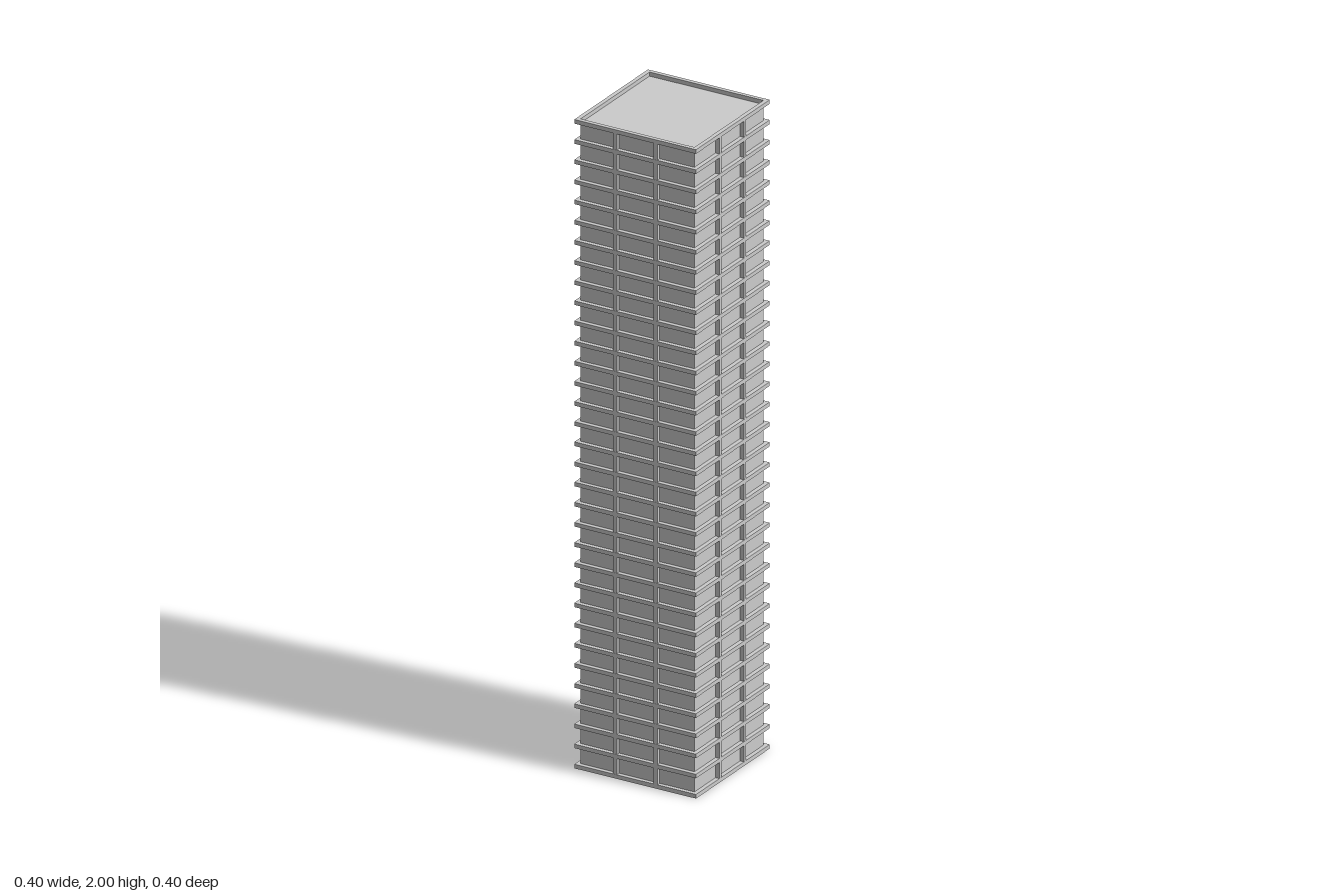
import * as THREE from 'three';

export function createModel() {
  const group = new THREE.Group();
  const mat = new THREE.MeshStandardMaterial({ color: 0xcccccc, flatShading: true });
  const floors = 32, half = 0.2, core = 0.187, thick = 0.0125;
  const pitch = (2 - thick) / floors;

  const add = (name, geometry, x, y, z, parent = group) => {
    const mesh = new THREE.Mesh(geometry, mat);
    mesh.name = name;
    mesh.position.set(x, y, z);
    parent.add(mesh);
    return mesh;
  };

  // Tower body, its roof slightly below the top rim
  const bodyH = 2 - thick;
  add('towerBody', new THREE.BoxGeometry(core * 2, bodyH - 0.002, core * 2), 0, bodyH / 2 + 0.001, 0);

  // Base slab
  add('baseSlab', new THREE.BoxGeometry(half * 2, thick, half * 2), 0, thick / 2, 0);

  // Projecting ledge around each floor; the last one is the roof rim
  const square = (r) => [[-r, -r], [r, -r], [r, r], [-r, r]].map(([x, y]) => new THREE.Vector2(x, y));
  const outline = new THREE.Shape(square(half));
  outline.holes.push(new THREE.Path(square(core).reverse()));
  const ledge = new THREE.ExtrudeGeometry(outline, { depth: thick, bevelEnabled: false });
  ledge.rotateX(-Math.PI / 2);
  for (let i = 1; i <= floors; i++) {
    add(i === floors ? 'roofRim' : 'floorLedge', ledge, 0, i * pitch, 0);
  }

  // Two vertical mullions dividing each side into three bays
  const depth = half - core;
  const mullion = new THREE.BoxGeometry(thick, bodyH - thick, depth);
  for (let side = 0; side < 4; side++) {
    const face = new THREE.Group();
    face.name = 'facadeMullions';
    face.rotation.y = side * Math.PI / 2;
    for (const s of [-1, 1]) {
      add('mullion', mullion, s * half / 3, 1, half - depth / 2 - 0.0005, face);
    }
    group.add(face);
  }
  return group;
}
